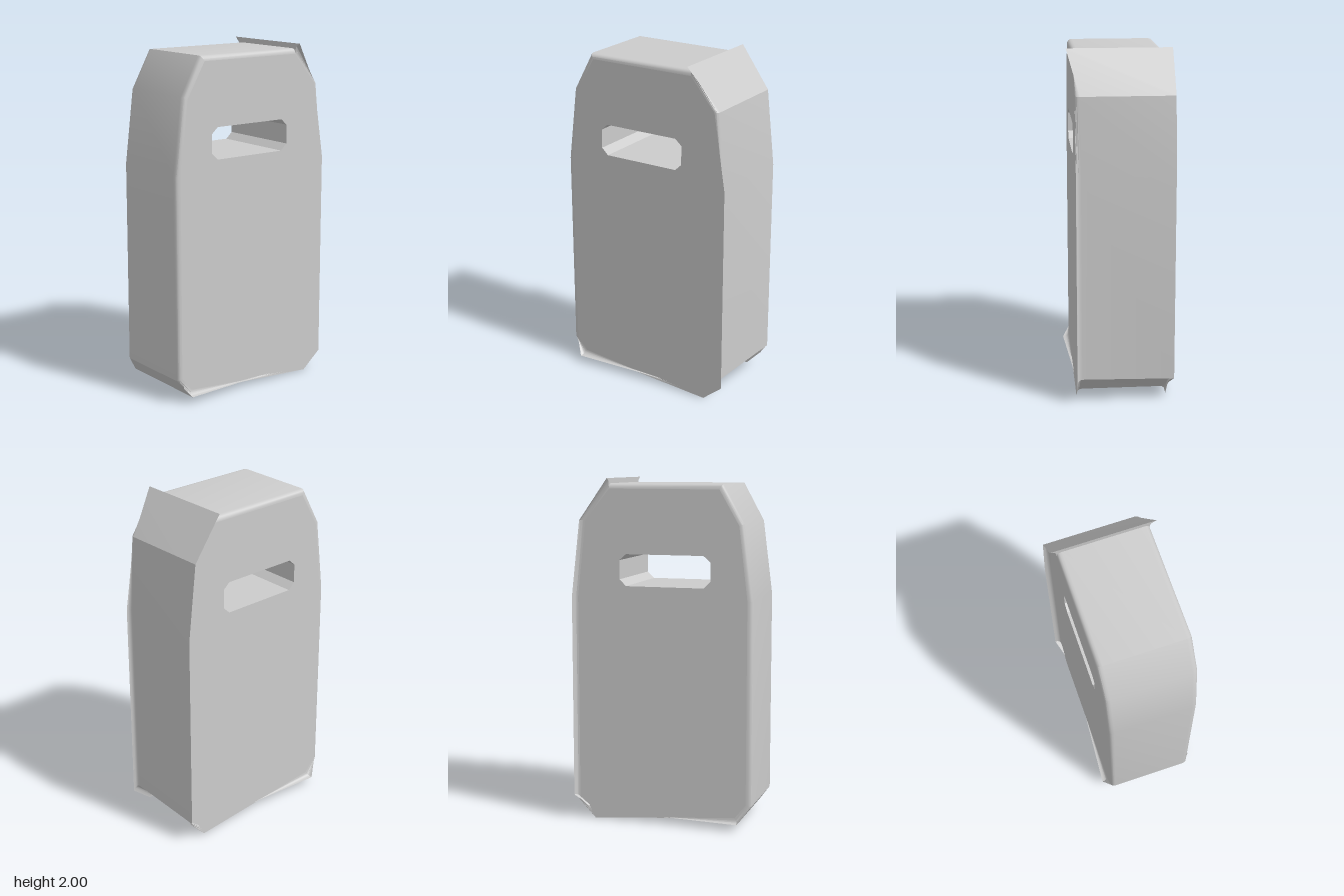
import * as THREE from 'three';
import { toCreasedNormals } from 'three/addons/utils/BufferGeometryUtils.js';

const FRONT = 0.257, BACK = -0.26;

// Clockwise outline. f/b: front and back face corners, sf/sb: ends of the side panel.
const rows = [
  { f: [-0.505, 0.15], b: [-0.505, 0.15], sf: [-0.535, 0.14, 0.225], sb: [-0.535, 0.14, -0.23] },
  { f: [-0.505, 1.32], b: [-0.505, 1.32], sf: [-0.535, 1.32, 0.225], sb: [-0.535, 1.32, -0.23] },
  { f: [-0.455, 1.74], b: [-0.455, 1.74], sf: [-0.48, 1.75, 0.225], sb: [-0.48, 1.75, -0.23] },
  { f: [-0.34, 1.94], b: [-0.34, 1.94], sf: [-0.36, 1.97, 0.225], sb: [-0.36, 1.97, -0.23] },
  { f: [0.31, 1.94], b: [0.31, 1.94], sf: [0.31, 1.97, 0.225], sb: [0.31, 1.97, -0.23] },
  // raised flap at the top corner, then the lipped side panel
  { f: [0.31, 1.94], b: [0.31, 1.94], sf: [0.31, 2, 0.295], sb: [0.31, 2, -0.295] },
  { f: [0.46, 1.76], b: [0.455, 1.76], sf: [0.48, 1.76, 0.23], sb: [0.48, 1.76, -0.295] },
  { f: [0.53, 1.32], b: [0.505, 1.32], sf: [0.507, 1.32, 0.225], sb: [0.53, 1.32, -0.295] },
  { f: [0.53, 0.1], b: [0.505, 0.1], sf: [0.507, 0.14, 0.225], sb: [0.53, 0.14, -0.295] },
  // underside, flaring outwards at the far corner
  { f: [0.41, 0], b: [0.41, 0], sf: [0.4, 0.04, 0.225], sb: [0.4, 0.04, -0.23] },
  { f: [-0.44, 0.07], b: [-0.44, 0.07], sf: [-0.46, 0.04, 0.295], sb: [-0.46, 0.04, -0.295] },
];

const slot = [[-0.29, 1.425], [-0.29, 1.535], [-0.25, 1.57], [0.21, 1.57],
  [0.25, 1.535], [0.25, 1.425], [0.21, 1.387], [-0.25, 1.387]];

// Curved edge from a face corner to the side panel
function edge([x, y], z, s) {
  return new THREE.QuadraticBezierCurve3(new THREE.Vector3(x, y, z),
    new THREE.Vector3(s[0], s[1], z), new THREE.Vector3(...s)).getPoints(4);
}

// Closed wall made from a loop of front-to-back sections
function wall(sections, crease) {
  const pos = [];
  sections.forEach((p, i) => {
    const q = sections[(i + 1) % sections.length];
    for (let k = 0; k < p.length - 1; k++) {
      for (const v of [p[k], q[k], q[k + 1], p[k], q[k + 1], p[k + 1]]) pos.push(v.x, v.y, v.z);
    }
  });
  const g = new THREE.BufferGeometry();
  g.setAttribute('position', new THREE.Float32BufferAttribute(pos, 3));
  return toCreasedNormals(g, crease);
}

// Flat face with the slot cut out
function face(points, z) {
  const toV = ([x, y]) => new THREE.Vector2(x, y);
  const shape = new THREE.Shape(points.map(toV));
  shape.holes.push(new THREE.Path(slot.map(toV)));
  const g = new THREE.ShapeGeometry(shape);
  if (z < 0) {
    g.scale(-1, 1, 1);
    g.rotateY(Math.PI);
    g.scale(1, 1, -1);
    const idx = g.index.array;
    for (let i = 0; i < idx.length; i += 3) [idx[i], idx[i + 1]] = [idx[i + 1], idx[i]];
    g.computeVertexNormals();
  }
  return g.translate(0, 0, z);
}

export function createModel() {
  const group = new THREE.Group();
  group.name = 'slottedBlock';
  const grey = new THREE.MeshStandardMaterial({ color: 0xcccccc, side: THREE.DoubleSide });
  grey.name = 'lightGrey';
  const add = (name, geometry) => {
    const mesh = new THREE.Mesh(geometry, grey);
    mesh.name = name;
    group.add(mesh);
  };

  // the doubled flap corner is used once on the flat faces
  const corners = rows.filter((_, i) => i !== 5);
  add('frontFace', face(corners.map(r => r.f), FRONT));
  add('backFace', face(corners.map(r => r.b), BACK));

  add('sideWall', wall(rows.map(r =>
    [...edge(r.f, FRONT, r.sf), ...edge(r.b, BACK, r.sb).reverse()]), 0.5));

  // inside of the slot, wound to face inwards
  add('slotWall', wall([...slot].reverse().map(([x, y]) =>
    [new THREE.Vector3(x, y, FRONT), new THREE.Vector3(x, y, BACK)]), 0.3));

  return group;
}
